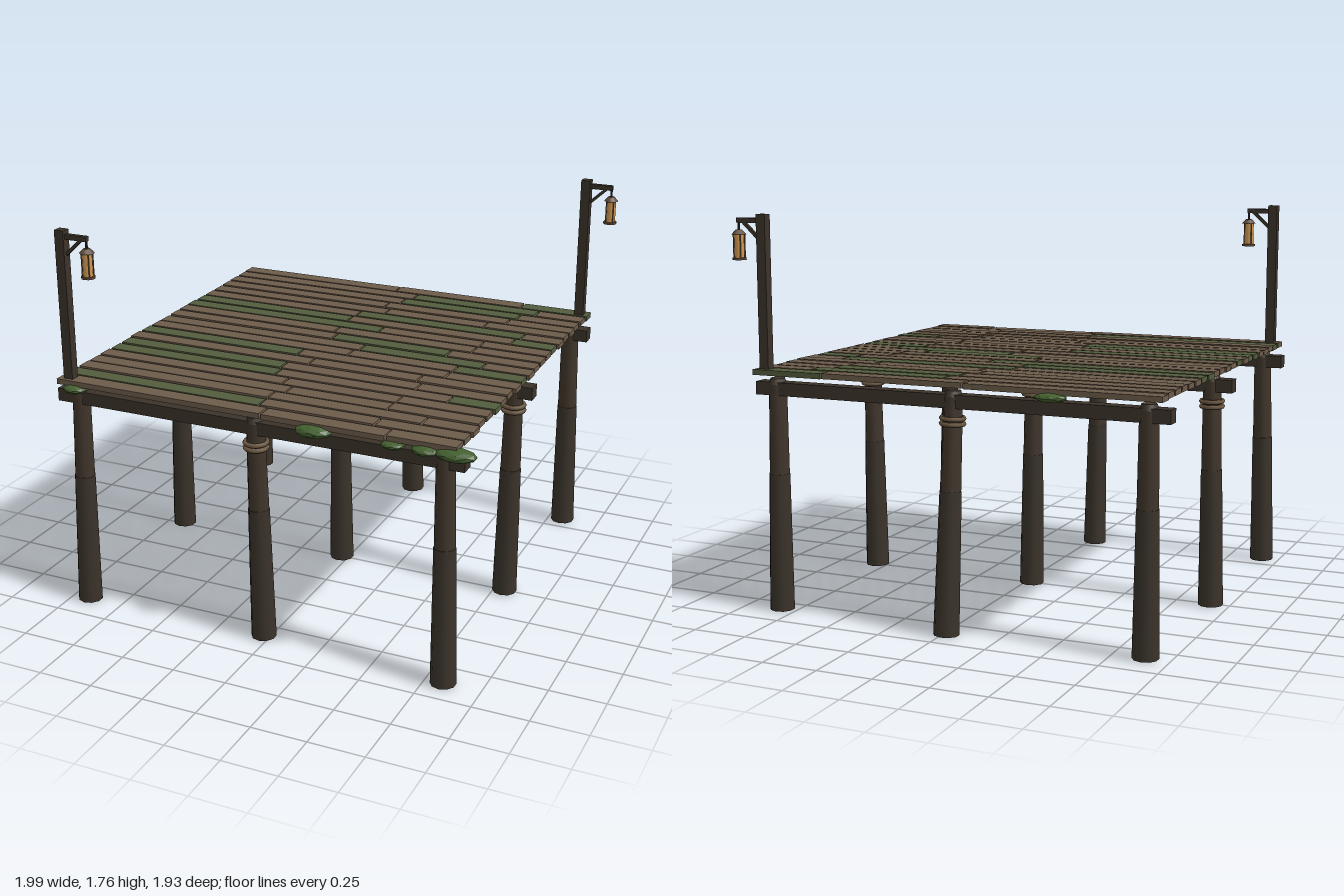
import * as THREE from 'three';

const mat = (name, color, flatShading = false) => {
  const m = new THREE.MeshStandardMaterial({ color, flatShading });
  m.name = name;
  return m;
};

export function createModel() {
  const M = {
    wood: mat('weatheredWood', 0x6d5c4a),
    mossy: mat('mossyWood', 0x545d3f),
    beam: mat('darkBeam', 0x3c332a),
    post: mat('postWood', 0x40362b),
    wet: mat('wetPostWood', 0x3a332a),
    rope: mat('rope', 0x6e5a44),
    iron: mat('iron', 0x2b2622),
    rust: mat('rustedMetal', 0x5f4a3a),
    glow: mat('amberGlass', 0xcf9850),
    moss: mat('moss', 0x44602f, true),
  };
  const root = new THREE.Group();
  root.name = 'dock';

  let seed = 7;
  const jitter = (a) => {
    seed = (seed * 16807) % 2147483647;
    return (seed / 2147483647 - 0.5) * 2 * a;
  };
  const add = (parent, name, geo, material, x = 0, y = 0, z = 0) => {
    const mesh = new THREE.Mesh(geo, material);
    mesh.name = name;
    mesh.position.set(x, y, z);
    parent.add(mesh);
    return mesh;
  };
  const box = (w, h, d) => new THREE.BoxGeometry(w, h, d);
  const group = (name, parent = root) => {
    const g = new THREE.Group();
    g.name = name;
    parent.add(g);
    return g;
  };

  // Deck rows from back to front: two joints and the three board types
  const rows = [
    [-0.12, 0.545, 'WWM'], [0.01, 0.65, 'WMW'], [-0.02, 0.585, 'WMW'],
    [-0.07, 0.56, 'WWW'], [-0.03, 0.48, 'WWW'], [-0.145, 0.695, 'WMW'],
    [-0.15, 0.675, 'MWM'], [0.05, 0.555, 'MWW'], [-0.14, 0.55, 'WWW'],
    [-0.11, 0.46, 'WMW'], [0.07, 0.66, 'WMW'], [0.05, 0.56, 'WWM'],
    [-0.16, 0.555, 'MWW'], [-0.06, 0.46, 'WWW'], [-0.155, 0.49, 'MWW'],
    [-0.14, 0.67, 'MWM'], [-0.06, 0.475, 'WWW'], [0, 0.47, 'WWW'],
    [-0.04, 0.66, 'WWW'], [-0.035, 0.49, 'MWW'], [0.015, 0.575, 'WWW'],
  ];
  const deck = group('deck');
  rows.forEach(([a, b, kinds], i) => {
    const ends = [-0.982 + jitter(0.004), a, b, 0.884 + jitter(0.005)];
    for (let k = 0; k < 3; k++) {
      const plank = add(deck, 'plank', box(ends[k + 1] - ends[k] - 0.009, 0.024, 0.075),
        kinds[k] === 'M' ? M.mossy : M.wood,
        (ends[k] + ends[k + 1]) / 2, 1.077 + jitter(0.002), -0.893 + i * 0.0886);
      plank.rotation.y = jitter(0.004);
    }
  });

  // Beams running under the deck
  const xs = [-0.9, -0.043, 0.808];
  const zs = [-0.85, -0.004, 0.845];
  zs.forEach((z) => add(root, 'beam', box(1.9, 0.058, 0.065), M.beam, -0.05, 1.0, z));

  // Leaning posts: foot offsets [dx, dz] by row (back to front) and column
  const lean = [
    [[0.005, 0.005], [0.025, -0.035], [0.015, 0.015]],
    [[-0.015, -0.012], [0.01, 0], [-0.008, 0.008]],
    [[-0.015, 0.01], [0.013, -0.013], [0.025, 0.035]],
  ];
  const lathe = (pts) => new THREE.CylinderGeometry(pts[0], pts[1], pts[2], 10);
  const up = new THREE.Vector3(0, 1, 0);
  zs.forEach((z, r) => xs.forEach((x, c) => {
    const [dx, dz] = lean[r][c];
    const post = group('post');
    post.position.set(x + dx, 0, z + dz);
    post.quaternion.setFromUnitVectors(up, new THREE.Vector3(-dx, 1.03, -dz).normalize());
    add(post, 'lowerPost', lathe([0.047, 0.056, 0.62]), M.wet, 0, 0.31);
    add(post, 'upperPost', lathe([0.04, 0.045, 0.4]), M.post, 0, 0.82);
    add(post, 'postTop', lathe([0.032, 0.04, 0.025]), M.post, 0, 1.0325);
    // Rope wraps on all but the corner posts
    if (r === 1 || c === 1) {
      for (const y of [0.905, 0.928]) {
        add(post, 'ropeRing', new THREE.TorusGeometry(0.048, 0.01, 6, 18), M.rope, 0, y)
          .rotation.x = Math.PI / 2;
      }
    }
  }));

  // Lamp posts with bracket and hanging lantern
  const lamp = (x, z) => {
    const g = group('lampPost');
    g.position.set(x, 0, z);
    add(g, 'pole', box(0.044, 0.68, 0.042), M.beam, 0, 1.415);
    add(g, 'arm', box(0.13, 0.022, 0.022), M.beam, 0.062, 1.727);
    add(g, 'brace', box(0.105, 0.014, 0.014), M.beam, 0.06, 1.685).rotation.z = 0.75;
    add(g, 'hook', box(0.008, 0.05, 0.008), M.iron, 0.122, 1.705);
    const lantern = group('lantern', g);
    lantern.position.set(0.122, 0, 0);
    const cyl = (a, b, h) => new THREE.CylinderGeometry(a, b, h, 10);
    add(lantern, 'cap', cyl(0.014, 0.033, 0.02), M.rust, 0, 1.676);
    add(lantern, 'glass', cyl(0.022, 0.022, 0.102), M.glow, 0, 1.616);
    add(lantern, 'base', cyl(0.031, 0.031, 0.01), M.rust, 0, 1.561);
    for (let i = 0; i < 4; i++) {
      const t = Math.PI / 4 + i * Math.PI / 2;
      add(lantern, 'bar', box(0.006, 0.102, 0.006), M.rust,
        0.023 * Math.cos(t), 1.616, 0.023 * Math.sin(t));
    }
  };
  lamp(-0.928, 0.877);
  lamp(0.84, -0.887);

  // Moss clumps along the deck edges: x, z, half-width, half-height, half-depth
  [
    [-0.89, 0.905, 0.055, 0.02, 0.048], [-0.51, -0.925, 0.07, 0.02, 0.045],
    [0.255, 0.91, 0.082, 0.028, 0.052], [0.605, 0.905, 0.052, 0.018, 0.045],
    [0.745, 0.905, 0.062, 0.022, 0.05], [0.87, 0.905, 0.09, 0.027, 0.052],
  ].forEach(([x, z, w, h, d], i) => {
    const geo = new THREE.IcosahedronGeometry(1, 1);
    geo.rotateY(i * 1.3);
    geo.scale(w, h, d);
    add(root, 'mossClump', geo, M.moss, x, 1.053, z);
  });

  return root;
}
